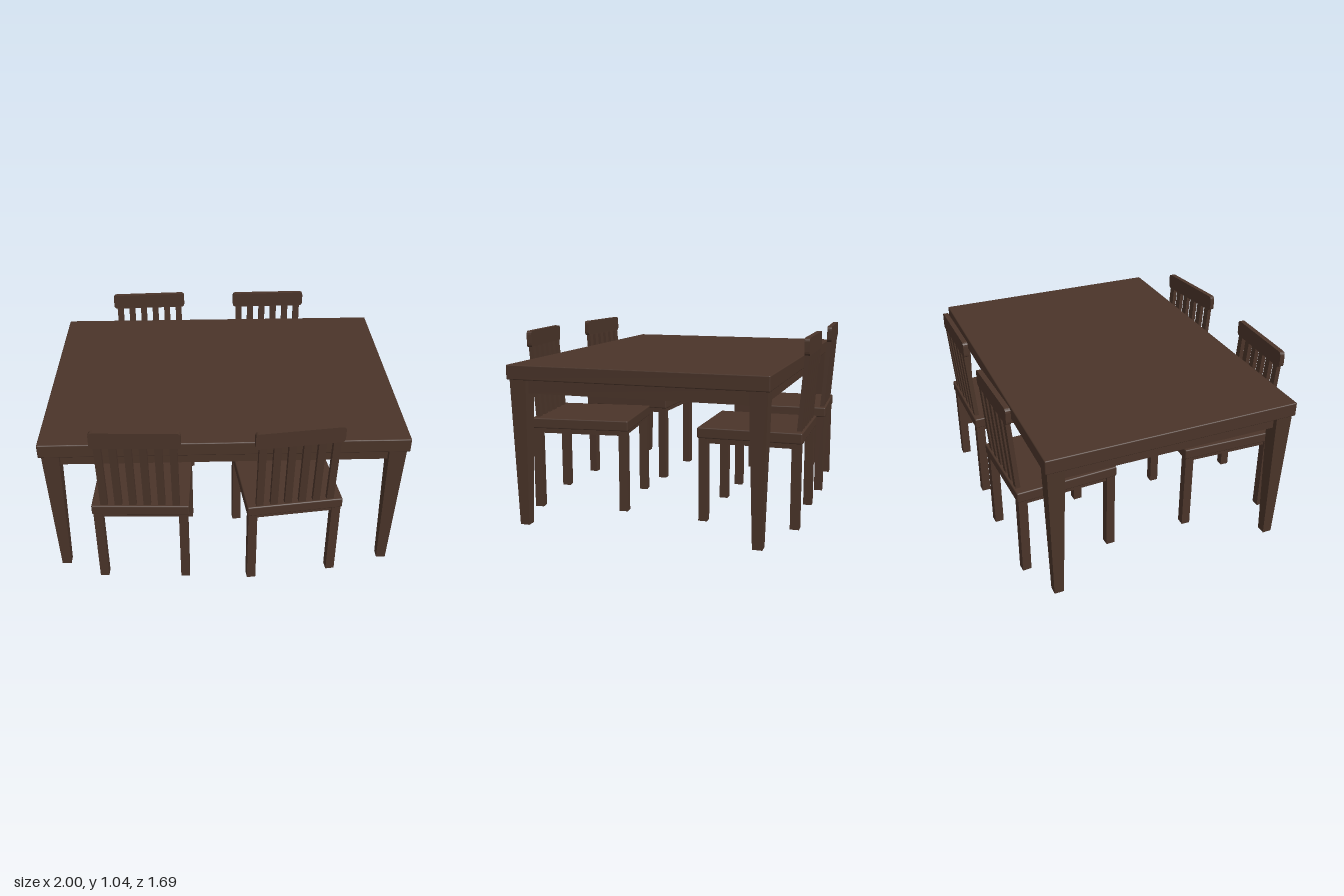
import * as THREE from 'three';
import { RoundedBoxGeometry } from 'three/addons/geometries/RoundedBoxGeometry.js';

const wood = new THREE.MeshStandardMaterial({ color: 0x4a3429 });

function add(parent, name, geometry, x, y, z) {
  const mesh = new THREE.Mesh(geometry, wood);
  mesh.name = name;
  mesh.position.set(x, y, z);
  parent.add(mesh);
  return mesh;
}

const box = (w, h, d) => new THREE.BoxGeometry(w, h, d);

// Box whose bottom end is scaled in towards its axis
function taperedLeg(top, bottom, height) {
  const g = box(top, height, top);
  const p = g.attributes.position;
  for (let i = 0; i < p.count; i++) {
    if (p.getY(i) < 0) {
      p.setX(i, p.getX(i) * bottom / top);
      p.setZ(i, p.getZ(i) * bottom / top);
    }
  }
  g.computeVertexNormals();
  return g;
}

// Four rails forming a frame, centred on the leg lines
function addApron(parent, name, legX, legZ, y, height, thickness) {
  for (const s of [-1, 1]) {
    add(parent, name, box(legX * 2, height, thickness), 0, y, s * legZ);
    add(parent, name, box(thickness, height, legZ * 2), s * legX, y, 0);
  }
}

function createTable() {
  const table = new THREE.Group();
  table.name = 'table';
  add(table, 'tableTop', new RoundedBoxGeometry(2, 0.08, 1.43, 2, 0.006), 0, 0.85, 0);
  addApron(table, 'tableApron', 0.9375, 0.655, 0.773, 0.078, 0.035);
  for (const sx of [-1, 1]) {
    for (const sz of [-1, 1]) {
      add(table, 'tableLeg', taperedLeg(0.095, 0.053, 0.812), sx * 0.9375, 0.406, sz * 0.655);
    }
  }
  return table;
}

// Rounded plank for the top of a chair back
function topRailGeometry(w, h, d, r) {
  const x = w / 2, y = h / 2;
  const s = new THREE.Shape();
  s.moveTo(-x + r, -y);
  s.lineTo(x - r, -y);
  s.quadraticCurveTo(x, -y, x, -y + r);
  s.lineTo(x, y - r);
  s.quadraticCurveTo(x, y, x - r, y);
  s.lineTo(-x + r, y);
  s.quadraticCurveTo(-x, y, -x, y - r);
  s.lineTo(-x, -y + r);
  s.quadraticCurveTo(-x, -y, -x + r, -y);
  const g = new THREE.ExtrudeGeometry(s, { depth: d, bevelEnabled: false, curveSegments: 4 });
  g.translate(0, 0, -d / 2);
  return g;
}

// Chair with its back on the local +z side
function createChair() {
  const chair = new THREE.Group();
  chair.name = 'chair';
  const W = 0.535, D = 0.58;
  const legX = W / 2 - 0.032, legZ = D / 2 - 0.032;
  add(chair, 'seat', new RoundedBoxGeometry(W, 0.06, D, 2, 0.007), 0, 0.505, 0);
  addApron(chair, 'seatApron', legX, legZ, 0.461, 0.032, 0.025);
  for (const sx of [-1, 1]) {
    for (const sz of [-1, 1]) {
      add(chair, 'chairLeg', box(0.05, 0.478, 0.05), sx * legX, 0.239, sz * legZ);
    }
  }
  // Leaning slats, sheared outwards from seat to rail
  const baseZ = D / 2 - 0.025, topZ = D / 2 + 0.008, h = 0.43;
  const slat = box(0.04, h, 0.026);
  slat.applyMatrix4(new THREE.Matrix4().set(
    1, 0, 0, 0,
    0, 1, 0, 0,
    0, (topZ - baseZ) / h, 1, 0,
    0, 0, 0, 1));
  slat.computeVertexNormals();
  for (let i = 0; i < 6; i++) {
    add(chair, 'backSlat', slat, (i - 2.5) * 0.079, 0.53 + h / 2, (baseZ + topZ) / 2);
  }
  add(chair, 'topRail', topRailGeometry(0.475, 0.095, 0.028, 0.022), 0, 0.99, topZ);
  return chair;
}

export function createModel() {
  const model = new THREE.Group();
  model.name = 'diningSet';
  const table = createTable();
  table.position.z = -0.01;
  model.add(table);

  // x, z, turn in degrees for each chair
  const places = [
    [-0.457, 0.503, -2],
    [0.35, 0.505, 7],
    [-0.453, -0.522, 180 + 2.7],
    [0.344, -0.525, 180 + 0.9],
  ];
  for (const [x, z, turn] of places) {
    const chair = createChair();
    chair.position.set(x, 0, z);
    chair.rotation.y = THREE.MathUtils.degToRad(turn);
    model.add(chair);
  }
  return model;
}
